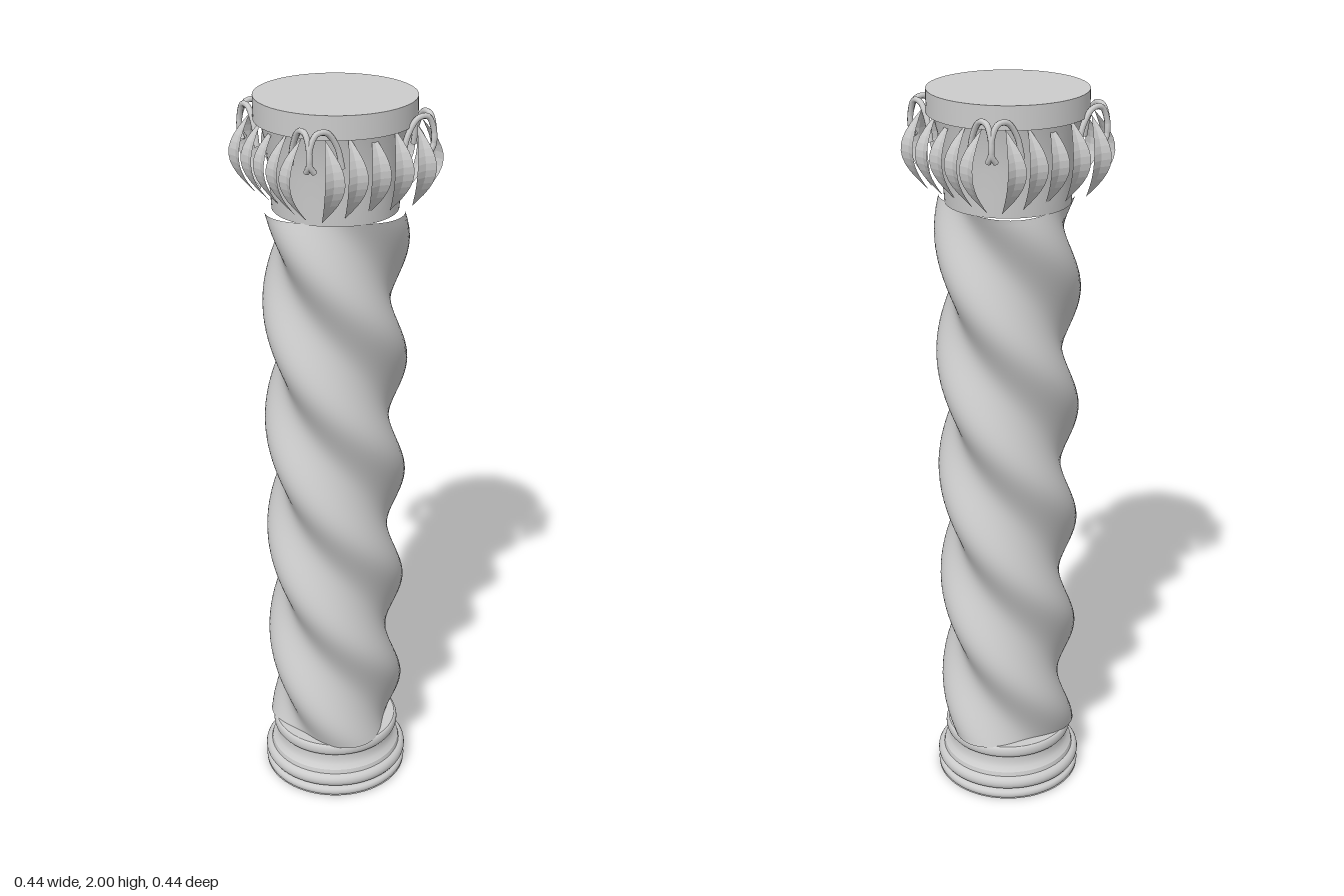
import * as THREE from 'three';
import { mergeVertices } from 'three/addons/utils/BufferGeometryUtils.js';

const stone = new THREE.MeshStandardMaterial({ color: 0xcccccc });
const stoneThin = new THREE.MeshStandardMaterial({ color: 0xcccccc, side: THREE.DoubleSide });
const stoneFlat = new THREE.MeshStandardMaterial({ color: 0xcccccc, side: THREE.DoubleSide, flatShading: true });

function add(parent, name, geometry, material = stone) {
  const mesh = new THREE.Mesh(geometry, material);
  mesh.name = name;
  parent.add(mesh);
  return mesh;
}

// Turned ring: a lathe whose profile is split into [r, y] runs with sharp edges between them
function turned(parent, name, runs) {
  const group = new THREE.Group();
  group.name = name;
  for (const run of runs) {
    const points = run.map(([r, y]) => new THREE.Vector2(r, y));
    add(group, name + 'Band', new THREE.LatheGeometry(points, 64), stoneThin);
  }
  parent.add(group);
}

// Half-round moulding from y0 to y1, bulging out from radius r by d
function bead(r, d, y0, y1) {
  return Array.from({ length: 9 }, (_, i) => {
    const a = (i / 8 - 0.5) * Math.PI;
    return [r + d * Math.cos(a), (y0 + y1) / 2 + (y1 - y0) / 2 * Math.sin(a)];
  });
}

// Three-lobed shaft, twisting one turn per unit of height
function shaftGeometry() {
  const y0 = 0.155, y1 = 1.715;
  let g = new THREE.CylinderGeometry(1, 1, y1 - y0, 96, 120, true);
  g.translate(0, (y0 + y1) / 2, 0);
  const p = g.attributes.position;
  for (let i = 0; i < p.count; i++) {
    const y = p.getY(i);
    const angle = Math.atan2(p.getX(i), p.getZ(i));
    const lobe = Math.PI / 2 + 2 * Math.PI * (1.54 - y);
    const r = 0.1665 + 0.0235 * Math.cos(3 * (angle - lobe));
    p.setXYZ(i, r * Math.sin(angle), y, r * Math.cos(angle));
  }
  g.deleteAttribute('normal');
  g.deleteAttribute('uv');
  g = mergeVertices(g, 1e-5);
  g.computeVertexNormals();
  return g;
}

// Pointed leaf, bowed outwards and lightly folded along its midrib
function leafGeometry() {
  const g = new THREE.PlaneGeometry(1, 1, 2, 12);
  const p = g.attributes.position;
  for (let i = 0; i < p.count; i++) {
    const u = p.getX(i) * 2, v = p.getY(i) + 0.5;
    const s = Math.max(0, Math.sin(Math.PI * v));
    const z = 0.155 + 0.015 * v + 0.056 * s - 0.006 * s * (1 - Math.abs(u));
    p.setXYZ(i, 0.028 * s * u, 1.735 + 0.21 * v, z);
  }
  g.computeVertexNormals();
  return g;
}

// Hooked tendril lying in one face, curling down at the corner
function tendrilGeometry() {
  const path = new THREE.CatmullRomCurve3([
    [0.085, 1.87], [0.1, 1.925], [0.128, 1.962], [0.157, 1.962],
    [0.174, 1.93], [0.175, 1.89], [0.162, 1.87],
  ].map(([x, y]) => new THREE.Vector3(x, y, 0.176)));
  return new THREE.TubeGeometry(path, 28, 0.0075, 8);
}

export function createModel() {
  const model = new THREE.Group();
  model.name = 'twistedColumn';

  // Moulded base
  turned(model, 'base', [
    [[0, 0], [0.203, 0]],
    bead(0.196, 0.008, 0, 0.022),
    [[0.196, 0.022], [0.19, 0.028]],
    bead(0.188, 0.017, 0.028, 0.066),
    [[0.188, 0.066], [0.185, 0.078]],
    [[0.185, 0.078], [0.174, 0.088], [0.168, 0.103], [0.168, 0.12]],
    [[0.168, 0.12], [0.173, 0.124]],
    bead(0.173, 0.008, 0.124, 0.157),
    [[0.173, 0.157], [0, 0.157]],
  ]);

  // Twisted shaft
  add(model, 'shaft', shaftGeometry());

  // Bell of the capital and the round slab on top
  turned(model, 'capitalBell', [
    [[0, 1.712], [0.162, 1.712]],
    [[0.162, 1.712], [0.166, 1.77], [0.17, 1.83], [0.177, 1.89], [0.19, 1.942]],
  ]);
  const slab = new THREE.CylinderGeometry(0.205, 0.205, 0.06, 64);
  add(model, 'topSlab', slab).position.y = 1.97;

  // Five leaves and two tendrils on each of the four sides
  const leaf = leafGeometry();
  const tendril = tendrilGeometry();
  const mirrored = tendril.clone().rotateY(Math.PI).translate(0, 0, 0.352);
  for (let side = 0; side < 4; side++) {
    const face = new THREE.Group();
    face.name = 'capitalSide';
    face.rotation.y = side * Math.PI / 2;
    for (let i = -2; i <= 2; i++) add(face, 'leaf', leaf, stoneFlat).position.x = i * 0.065;
    add(face, 'tendril', tendril, stoneThin);
    add(face, 'tendril', mirrored, stoneThin);
    model.add(face);
  }
  return model;
}
